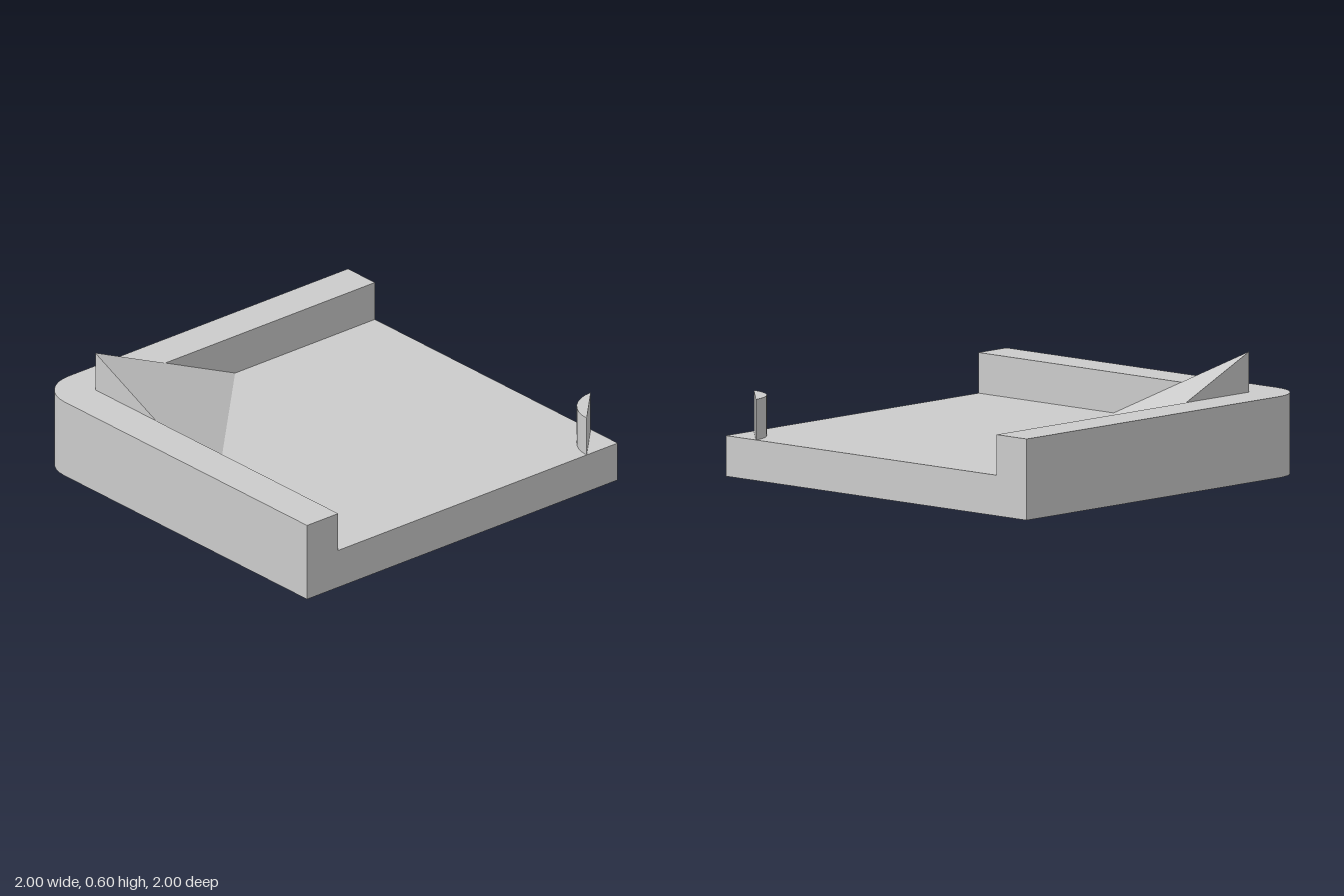
import * as THREE from 'three';
import { toCreasedNormals } from 'three/addons/utils/BufferGeometryUtils.js';

const R = 0.2; // corner radius, wall thickness and layer height

// Extrudes a plan outline (x, -z) upward from height y
function slab(name, shape, y, material) {
  const geo = new THREE.ExtrudeGeometry(shape, { depth: R, bevelEnabled: false, curveSegments: 4 });
  geo.rotateX(-Math.PI / 2);
  const mesh = new THREE.Mesh(toCreasedNormals(geo, 0.5), material);
  mesh.name = name;
  mesh.position.y = y;
  return mesh;
}

// Closed outline through the points, ending in a quarter arc around (cx, cy)
function outline(points, cx, cy) {
  const shape = new THREE.Shape();
  shape.moveTo(...points[0]);
  points.slice(1).forEach(p => shape.lineTo(...p));
  shape.absarc(cx, cy, R, Math.PI / 2, Math.PI, false);
  shape.closePath();
  return shape;
}

export function createModel() {
  const group = new THREE.Group();
  const material = new THREE.MeshStandardMaterial({ color: 0xcccccc });

  // Floor plate with one rounded corner
  group.add(slab('floorPlate', outline([[-1, -1], [1, -1], [1, 1]], -0.8, 0.8), 0, material));

  // L-shaped wall along the back and one side
  const wall = outline([[-1, -1], [-0.8, -1], [-0.8, 0.8], [1, 0.8], [1, 1]], -0.8, 0.8);
  group.add(slab('cornerWall', wall, R, material));

  // Quarter-round post in the opposite corner
  group.add(slab('cornerPost', outline([[1, -1]], 1, -1), R, material));

  // Sloped corner ramp rising above the walls
  const a = [-0.8, 0.2, -0.8], b = [0.1, 0.2, -0.8], c = [-0.8, 0.2, 0.1], top = [-0.8, 0.6, -0.8];
  const geo = new THREE.BufferGeometry();
  const corners = [top, c, b, a, top, b, a, c, top, a, b, c].flat();
  geo.setAttribute('position', new THREE.Float32BufferAttribute(corners, 3));
  geo.computeVertexNormals();
  const ramp = new THREE.Mesh(geo, material);
  ramp.name = 'cornerRamp';
  group.add(ramp);

  return group;
}
